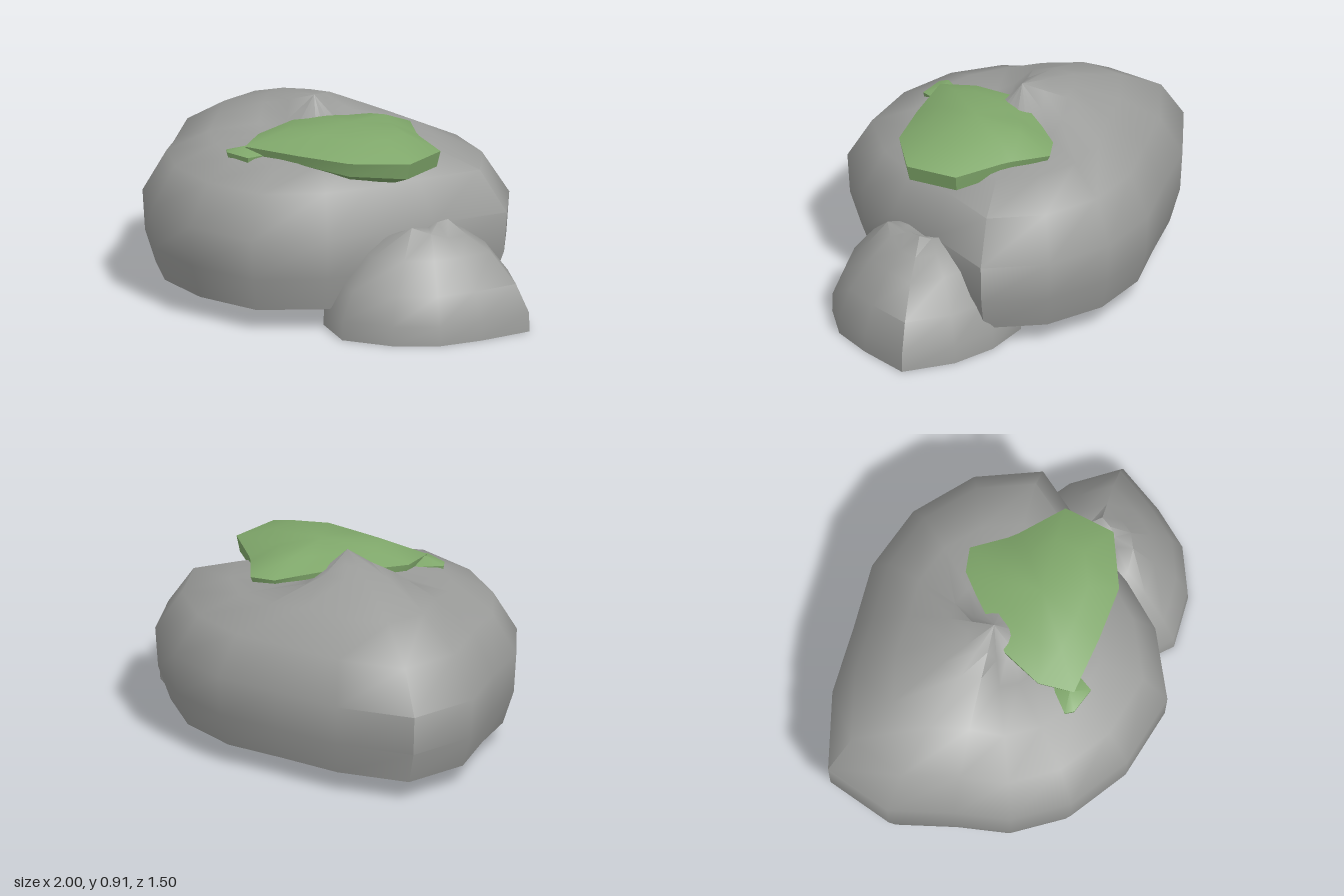
import * as THREE from 'three';
import { toCreasedNormals } from 'three/addons/utils/BufferGeometryUtils.js';

// Closed lump: scaled copies of an outline stacked upward, fanned to a base and an apex.
// Each ring is { y, s }, where y is a number or a list with one height per corner.
function lump(outline, base, apex, rings, crease) {
  const n = outline.length;
  const pos = [];
  const index = [];
  for (const { y, s } of rings) {
    outline.forEach(([x, z], i) => {
      pos.push(
        apex[0] + (x - apex[0]) * s,
        Array.isArray(y) ? y[i] : y,
        apex[2] + (z - apex[2]) * s
      );
    });
  }
  const bottom = rings.length * n;
  const top = bottom + 1;
  pos.push(apex[0], base, apex[2], ...apex);
  const last = (rings.length - 1) * n;
  for (let i = 0; i < n; i++) {
    const j = (i + 1) % n;
    index.push(bottom, j, i, last + i, last + j, top);
    for (let r = 0; r < rings.length - 1; r++) {
      const a = r * n + i, b = r * n + j;
      index.push(a, b, b + n, a, b + n, a + n);
    }
  }
  const geo = new THREE.BufferGeometry();
  geo.setAttribute('position', new THREE.Float32BufferAttribute(pos, 3));
  geo.setIndex(index);
  return toCreasedNormals(geo, crease);
}

export function createModel() {
  const group = new THREE.Group();
  const stone = new THREE.MeshStandardMaterial({ name: 'stone grey', color: 0x9c9d9b });
  const green = new THREE.MeshStandardMaterial({ name: 'moss green', color: 0x80a86b });

  const add = (name, geo, material) => {
    const mesh = new THREE.Mesh(geo, material);
    mesh.name = name;
    group.add(mesh);
  };

  // Large boulder, whose crown sinks toward the right and front
  const bigOutline = [
    [0.77, -0.07], [0.67, -0.37], [0.44, -0.6], [0.14, -0.72],
    [-0.17, -0.73], [-0.5, -0.75], [-0.87, -0.68], [-1, -0.37],
    [-0.94, -0.07], [-0.91, 0.19], [-0.77, 0.44], [-0.51, 0.64],
    [-0.17, 0.745], [0.15, 0.61], [0.34, 0.43], [0.52, 0.2],
  ];
  const sink = [1, 1, 0.9, 0.6, 0, 0, 0, 0, 0.1, 0.8, 1, 1, 1, 1, 1, 1];
  const sunk = (y, depth) => sink.map((k) => y - depth * k);
  add('largeBoulder', lump(bigOutline, 0.1, [-0.17, 0.91, -0.07], [
    { y: 0.1, s: 0.92 },
    { y: 0.26, s: 0.985 },
    { y: 0.45, s: 1 },
    { y: 0.64, s: 0.86 },
    { y: sunk(0.77, 0.045), s: 0.61 },
    { y: sunk(0.86, 0.11), s: 0.32 },
    { y: sunk(0.885, 0.125), s: 0.16 },
  ], 0.95), stone);

  // Small boulder with a dented top and raised lips at the front and the left
  const radii = [0.51, 0.44, 0.42, 0.45, 0.42, 0.4, 0.4, 0.47, 0.49, 0.43, 0.41, 0.41];
  const smallOutline = radii.map((r, i) => {
    const a = (i / radii.length) * Math.PI * 2;
    return [0.49 + r * Math.cos(a), 0.25 - r * Math.sin(a)];
  });
  const shoulder = [0.43, 0.43, 0.42, 0.42, 0.42, 0.41, 0.42, 0.42, 0.44, 0.49, 0.46, 0.43];
  const lip = [0.495, 0.47, 0.46, 0.46, 0.44, 0.42, 0.42, 0.43, 0.45, 0.46, 0.47, 0.49];
  add('smallBoulder', lump(smallOutline, 0, [0.49, 0.43, 0.25], [
    { y: 0, s: 1 },
    { y: 0.09, s: 0.995 },
    { y: 0.22, s: 0.87 },
    { y: 0.36, s: 0.63 },
    { y: shoulder, s: 0.4 },
    { y: lip, s: 0.22 },
  ], 0.95), stone);

  // Moss cap draped over the crown, hanging lower on the right
  const mossOutline = [
    [0.51, 0.1], [0.34, -0.08], [0.31, -0.12], [0.22, -0.28], [0.1, -0.27],
    [0, -0.2], [-0.13, -0.1], [-0.25, 0], [-0.35, 0.18], [-0.35, 0.35],
    [-0.07, 0.4], [0.19, 0.43], [0.45, 0.34],
  ];
  const hem = [0.69, 0.7, 0.71, 0.73, 0.73, 0.73, 0.73, 0.73, 0.72, 0.72, 0.72, 0.7, 0.69];
  const rim = [0.765, 0.765, 0.765, 0.765, 0.77, 0.79, 0.81, 0.8, 0.775, 0.765, 0.765, 0.765, 0.765];
  add('mossCap', lump(mossOutline, 0.68, [0.06, 0.855, 0.1], [
    { y: hem.map((y) => y - 0.04), s: 0.75 },
    { y: hem, s: 0.96 },
    { y: rim, s: 1 },
    { y: 0.834, s: 0.6 },
  ], 0.6), green);

  // Little moss lobe beside the cap
  const lobeOutline = [
    [-0.24, 0.33], [-0.33, 0.24], [-0.45, 0.33], [-0.43, 0.37], [-0.31, 0.42],
  ];
  add('mossLobe', lump(lobeOutline, 0.68, [-0.35, 0.765, 0.33], [
    { y: 0.69, s: 0.9 },
    { y: 0.735, s: 1 },
  ], 0.6), green);

  return group;
}
